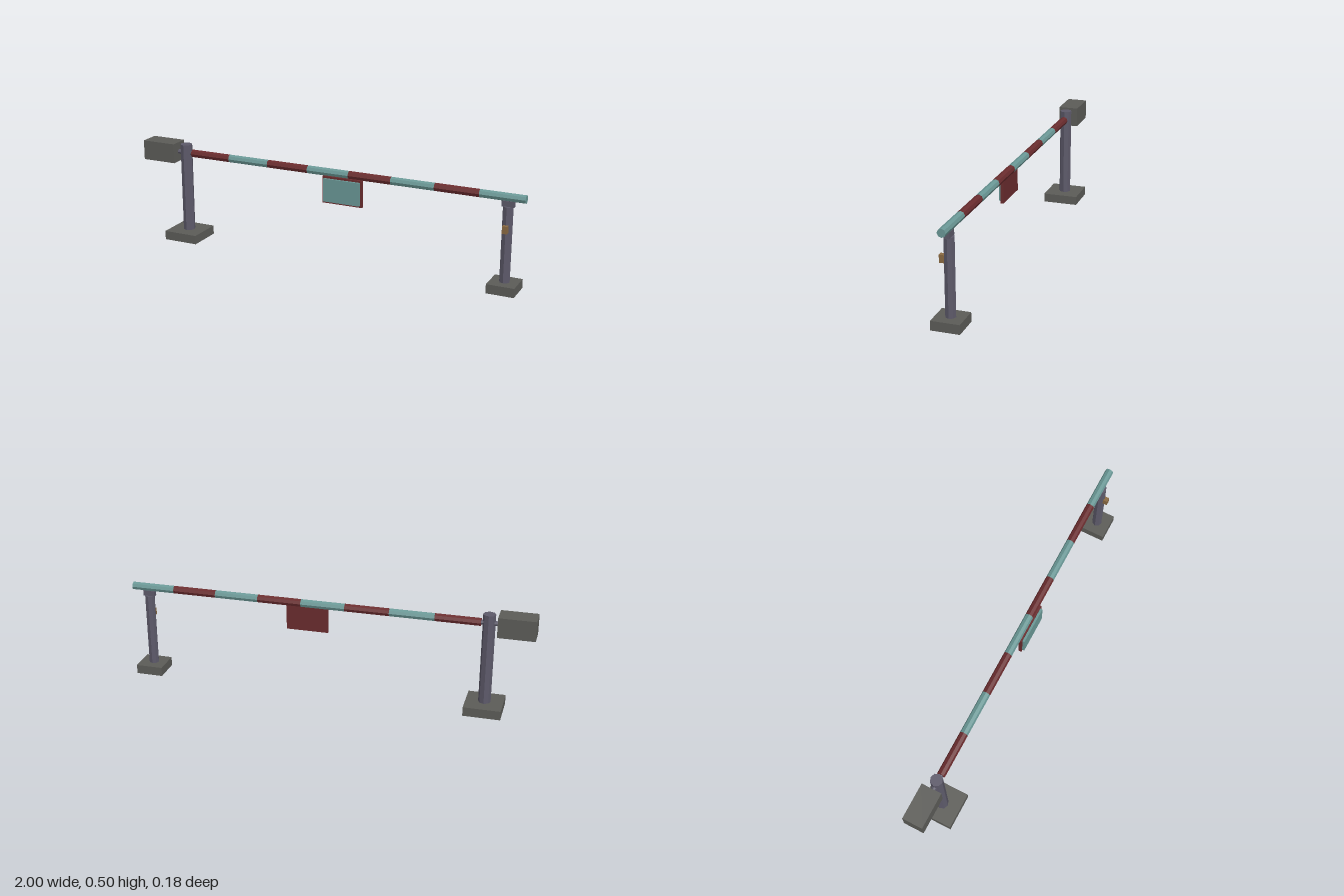
import * as THREE from 'three';

export function createModel() {
  const root = new THREE.Group();
  const mat = (color) => new THREE.MeshStandardMaterial({ color, flatShading: true });
  const teal = mat(0x6a9896), red = mat(0x6a2c2e), steel = mat(0x5d5a6a);
  const concrete = mat(0x5c5c58), amber = mat(0x8a6a42);

  function add(parent, name, geometry, material, x, y, z) {
    const mesh = new THREE.Mesh(geometry, material);
    mesh.name = name;
    mesh.position.set(x, y, z);
    parent.add(mesh);
    return mesh;
  }
  // Box given by its minimum and maximum corners
  function box(parent, name, material, a, b) {
    const g = new THREE.BoxGeometry(b[0] - a[0], b[1] - a[1], b[2] - a[2]);
    return add(parent, name, g, material, (a[0] + b[0]) / 2, (a[1] + b[1]) / 2, (a[2] + b[2]) / 2);
  }
  // Eight-sided rod along x
  function rod(parent, name, material, x0, x1, y, r) {
    const g = new THREE.CylinderGeometry(r, r, x1 - x0, 8).rotateZ(Math.PI / 2);
    return add(parent, name, g, material, (x0 + x1) / 2, y, 0);
  }
  // Eight-sided post on a square foot
  function post(name, x, r, top, foot) {
    const group = new THREE.Group();
    group.name = name;
    root.add(group);
    box(group, name + 'Foot', concrete, [x - foot, 0, -foot], [x + foot, 0.045, foot]);
    add(group, name + 'Column', new THREE.CylinderGeometry(r, r, top - 0.045, 8), steel, x, (top + 0.045) / 2, 0);
    return group;
  }

  const beamY = 0.453;
  post('pivotPost', -0.777, 0.03, 0.497, 0.09);
  const rest = post('restPost', 0.917, 0.025, 0.41, 0.067);

  // Cradle and latch on the rest post
  box(rest, 'restCradle', steel, [0.888, 0.408, -0.012], [0.946, 0.436, 0.012]);
  box(rest, 'latchBox', amber, [0.905, 0.29, 0.02], [0.929, 0.326, 0.043]);

  // Counterweight with its axle through the pivot post
  box(root, 'counterweight', concrete, [-1, 0.403, -0.05], [-0.822, 0.502, 0.05]);
  rod(root, 'pivotAxle', steel, -0.825, -0.735, beamY, 0.012);

  // Striped barrier beam
  const beam = new THREE.Group();
  beam.name = 'barrierBeam';
  root.add(beam);
  const start = -0.74, step = 1.74 / 8;
  for (let i = 0; i < 8; i++) {
    rod(beam, 'beamStripe', i % 2 ? teal : red, start + i * step, start + (i + 1) * step, beamY, 0.02);
  }

  // Blank hanging sign: backing board and raised face
  const sign = new THREE.Group();
  sign.name = 'hangingSign';
  root.add(sign);
  box(sign, 'signBacking', red, [0, 0.305, 0.011], [0.208, 0.438, 0.025]);
  box(sign, 'signFace', teal, [0.01, 0.314, 0.024], [0.198, 0.429, 0.036]);

  return root;
}
